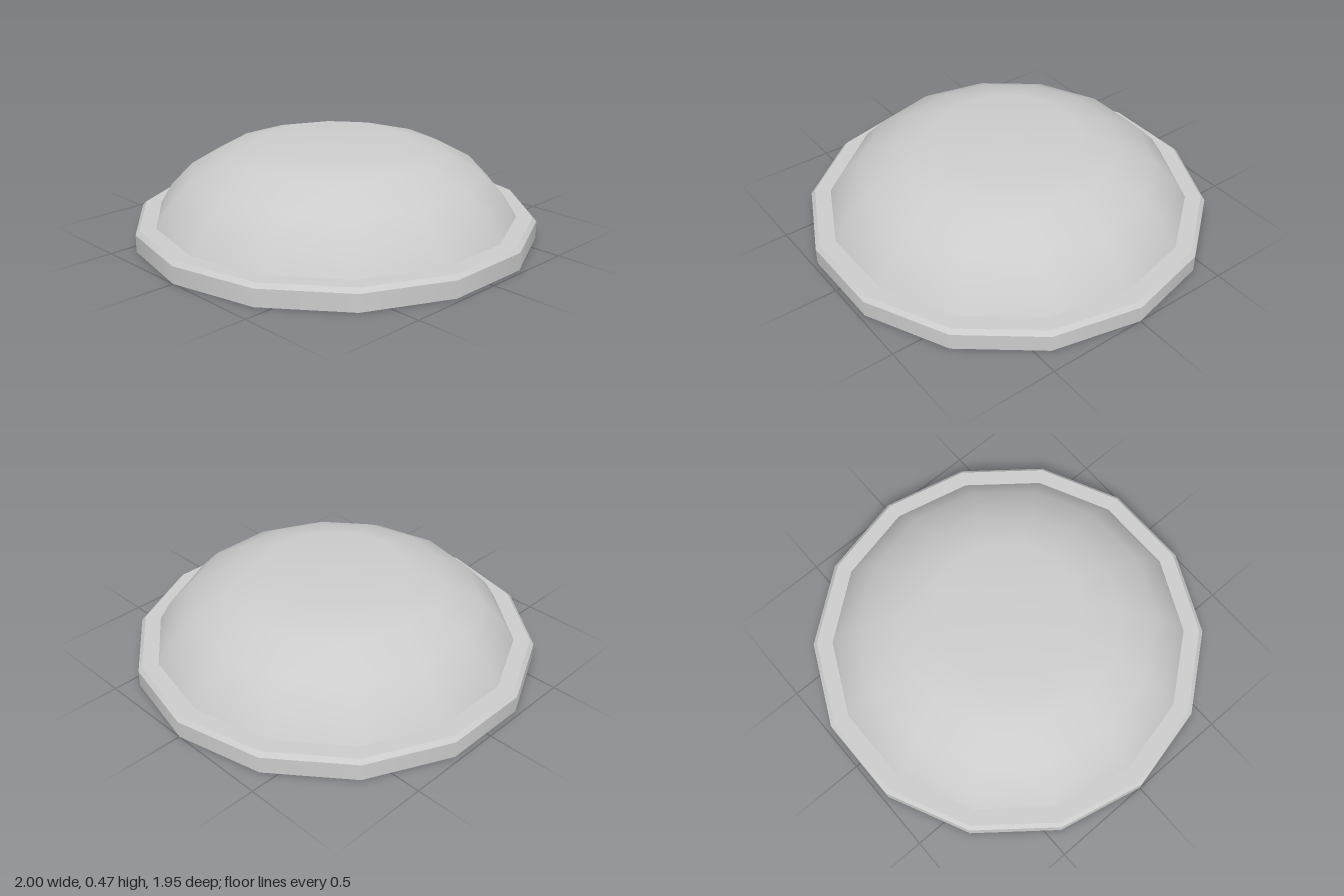
import * as THREE from 'three';

const SIDES = 14;

export function createModel() {
  const group = new THREE.Group();
  const material = new THREE.MeshStandardMaterial({ color: 0xcccccc, side: THREE.DoubleSide });

  // Turn a [radius, height] profile, with corners on the x axis
  function turn(name, profile) {
    const points = profile.map(([r, y]) => new THREE.Vector2(r, y));
    const geometry = new THREE.LatheGeometry(points, SIDES, Math.PI / 2);
    const mesh = new THREE.Mesh(geometry, material);
    mesh.name = name;
    group.add(mesh);
  }

  // Open rim: separate bands keep the edges between them sharp
  turn('rimWall', [[1, 0], [1, 0.085]]);
  turn('rimBevel', [[1, 0.085], [0.98, 0.105]]);
  turn('rimLedge', [[0.98, 0.105], [0.9, 0.105]]);

  // Smooth hollow dome with a flattened crown
  turn('dome', [
    [0.9, 0.105], [0.84, 0.205], [0.73, 0.32], [0.55, 0.42], [0.36, 0.47], [0, 0.472],
  ]);

  return group;
}
